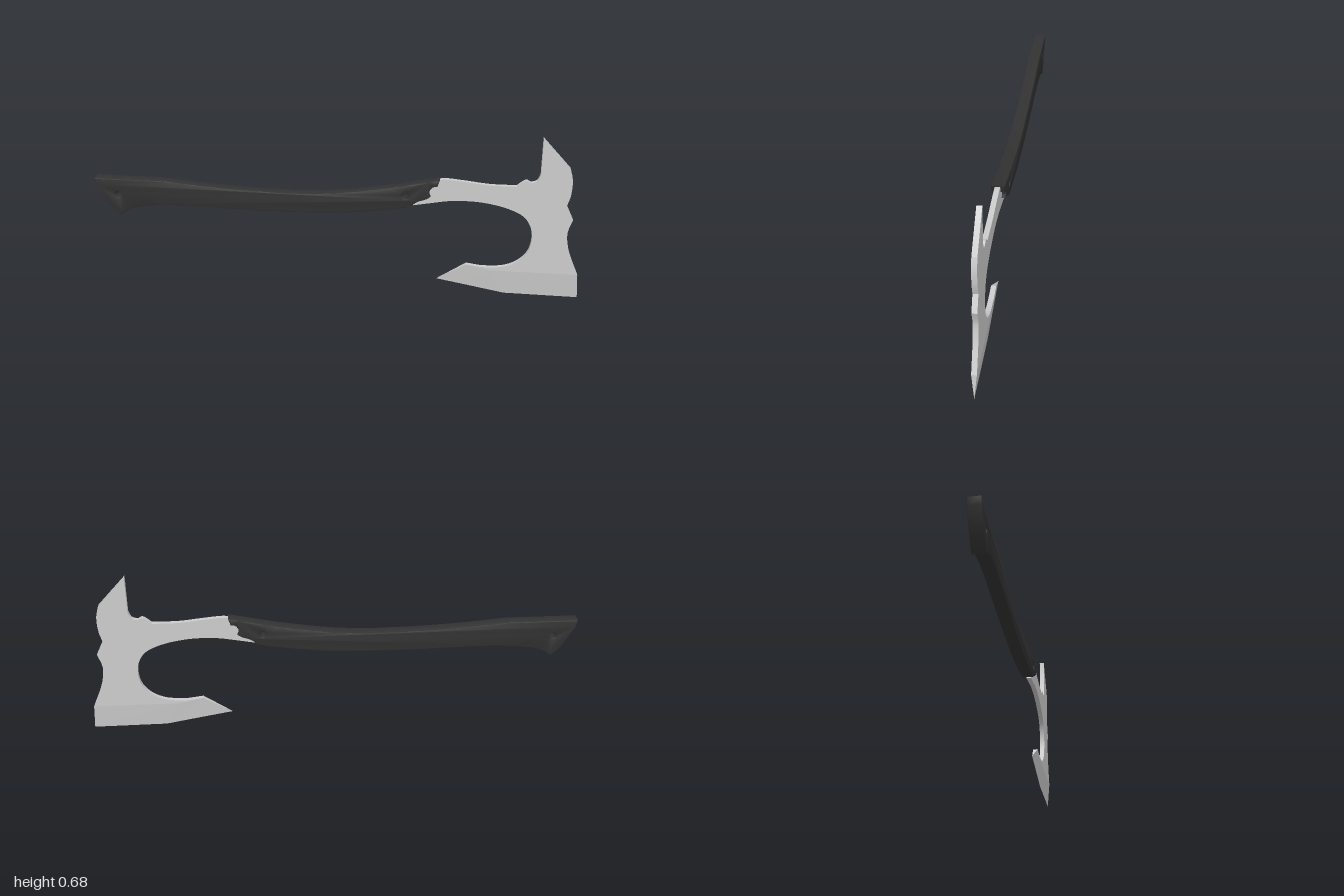
import * as THREE from 'three';
import { toCreasedNormals } from 'three/addons/utils/BufferGeometryUtils.js';

const HALF = 0.01; // half thickness of the steel plate
const vec = (pts) => pts.map(([x, y]) => new THREE.Vector2(x, y));

// Outline made of runs: 'line' keeps corners, 'curve' is smoothed
function outline(runs) {
  const shape = new THREE.Shape();
  shape.moveTo(...runs[0].pts[0]);
  runs.forEach(({ kind, pts }, i) => {
    const rest = i === 0 ? pts.slice(1) : pts;
    if (kind === 'curve') shape.splineThru(vec(rest));
    else rest.forEach((p) => shape.lineTo(...p));
  });
  shape.closePath();
  return shape;
}

function plate(shape, halfDepth, bevel) {
  const geo = new THREE.ExtrudeGeometry(shape, {
    depth: 2 * (halfDepth - bevel), curveSegments: 5,
    bevelEnabled: bevel > 0, bevelSize: bevel, bevelThickness: bevel,
    bevelOffset: -bevel, bevelSegments: 2,
  });
  geo.translate(0, 0, -(halfDepth - bevel));
  return toCreasedNormals(geo, 0.6);
}

function mesh(name, geometry, material) {
  const m = new THREE.Mesh(geometry, material);
  m.name = name;
  return m;
}

// Flat steel: neck, back spike, scalloped poll and beard
function headPlate() {
  return plate(outline([
    { kind: 'curve', pts: [[0.40, 0.489], [0.44, 0.497], [0.52, 0.490], [0.62, 0.479], [0.725, 0.478]] },
    { kind: 'curve', pts: [[0.745, 0.495], [0.762, 0.504], [0.78, 0.496], [0.803, 0.504], [0.815, 0.53]] },
    { kind: 'line', pts: [[0.815, 0.682], [0.928, 0.56]] },
    { kind: 'curve', pts: [[0.94, 0.51], [0.938, 0.45], [0.926, 0.405]] },
    { kind: 'line', pts: [[0.955, 0.345]] },
    { kind: 'curve', pts: [[0.938, 0.29], [0.943, 0.235], [0.96, 0.18], [0.992, 0.105]] },
    { kind: 'line', pts: [[0.64, 0.108], [0.54, 0.13], [0.606, 0.121]] },
    { kind: 'curve', pts: [[0.69, 0.127], [0.75, 0.155], [0.787, 0.2], [0.798, 0.26], [0.786, 0.315],
      [0.75, 0.358], [0.67, 0.39], [0.57, 0.407], [0.47, 0.407], [0.39, 0.395], [0.315, 0.382]] },
  ]), HALF, 0);
}

// Ground edge: wedge sections along x, each [edge point, shoulder point]
function groundEdge() {
  const sections = [
    [[0.42, 0.057], [0.42, 0.057], 0],
    [[0.54, 0.035], [0.54, 0.13], HALF],
    [[0.70, 0.005], [0.64, 0.108], HALF],
    [[1.0, 0.0], [0.992, 0.105], HALF],
  ];
  const rings = sections.map(([e, t, h]) => [[...e, 0], [...t, h], [...t, -h]]);
  const pos = [];
  const tri = (a, b, c) => pos.push(...a, ...b, ...c);
  for (let i = 0; i < rings.length - 1; i++) {
    const a = rings[i], b = rings[i + 1];
    for (let k = 0; k < 3; k++) {
      const n = (k + 1) % 3;
      tri(a[k], b[k], b[n]);
      if (i > 0) tri(a[k], b[n], a[n]);
    }
  }
  const [e, front, back] = rings[rings.length - 1];
  tri(e, back, front);
  const geo = new THREE.BufferGeometry();
  geo.setAttribute('position', new THREE.Float32BufferAttribute(pos, 3));
  geo.computeVertexNormals();
  return geo;
}

// Curved grip with flared butt, notched front and two pin holes
function gripGeometry() {
  const shape = outline([
    { kind: 'line', pts: [[-1, 0.455], [-0.995, 0.425], [-0.942, 0.335], [-0.902, 0.294]] },
    { kind: 'curve', pts: [[-0.855, 0.323], [-0.78, 0.339], [-0.63, 0.346], [-0.31, 0.338],
      [-0.02, 0.34], [0.15, 0.355], [0.275, 0.373]] },
    { kind: 'line', pts: [[0.305, 0.382]] },
    { kind: 'curve', pts: [[0.335, 0.402], [0.365, 0.413], [0.385, 0.425]] },
    { kind: 'curve', pts: [[0.379, 0.445], [0.392, 0.465], [0.41, 0.468]] },
    { kind: 'line', pts: [[0.42, 0.498]] },
    { kind: 'curve', pts: [[0.32, 0.478], [0.2, 0.455], [0.01, 0.429], [-0.18, 0.42],
      [-0.47, 0.431], [-0.71, 0.452]] },
  ]);
  for (const [x, y, r] of [[-0.905, 0.387, 0.013], [0.283, 0.425, 0.013]]) {
    const hole = new THREE.Path();
    hole.absarc(x, y, r, 0, Math.PI * 2, true);
    shape.holes.push(hole);
  }
  return plate(shape, 0.026, 0.005);
}

export function createModel() {
  const steel = new THREE.MeshStandardMaterial({ color: 0xcccccc, side: THREE.DoubleSide });
  const black = new THREE.MeshStandardMaterial({ color: 0x333333 });

  const head = new THREE.Group();
  head.name = 'axeHead';
  head.add(mesh('headPlate', headPlate(), steel), mesh('groundEdge', groundEdge(), steel));

  const model = new THREE.Group();
  model.name = 'axe';
  model.add(head, mesh('grip', gripGeometry(), black));
  return model;
}
